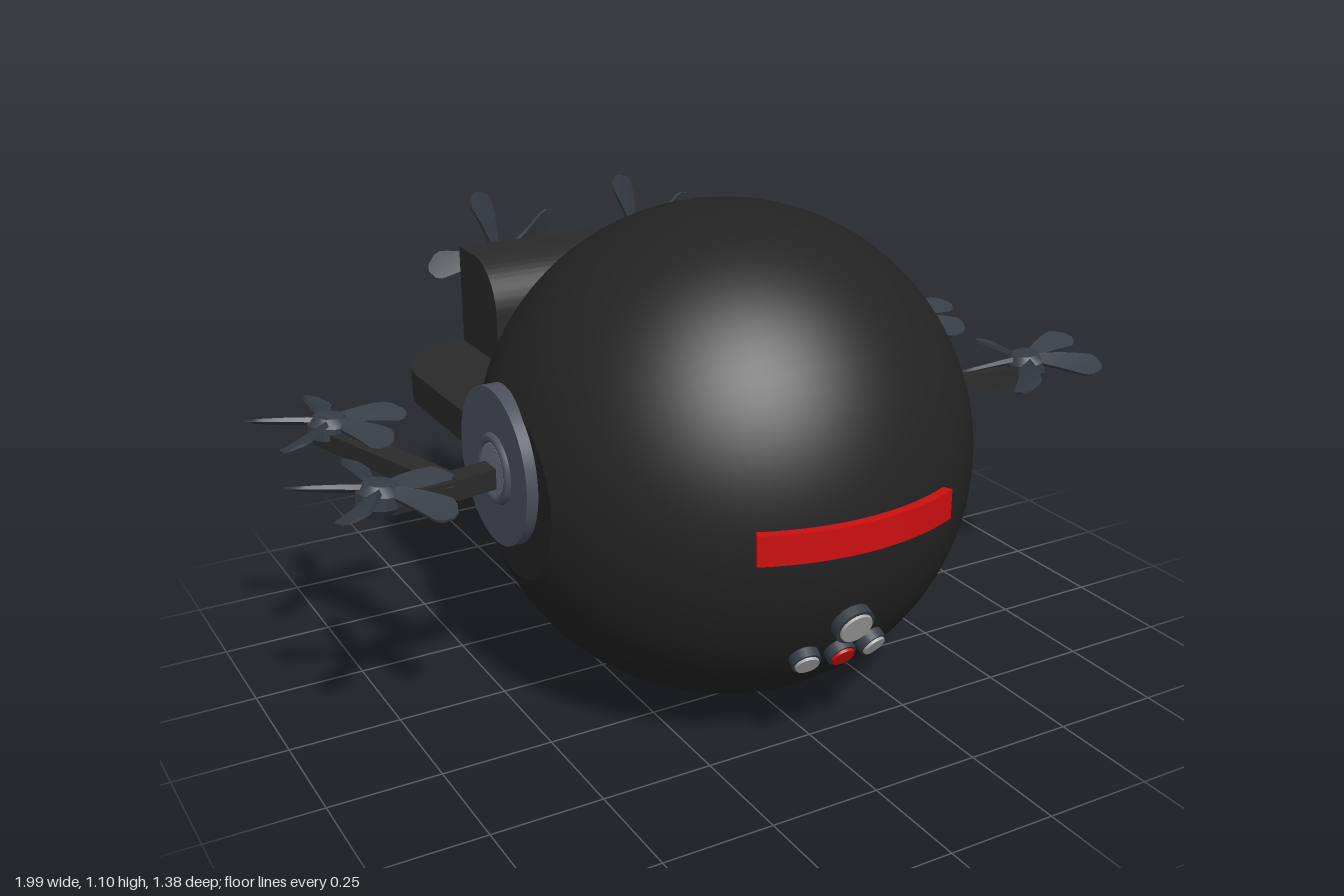
import * as THREE from 'three';
import { toCreasedNormals } from 'three/addons/utils/BufferGeometryUtils.js';

const mat = (color) => new THREE.MeshStandardMaterial({ color });
const V = (x, y, z) => new THREE.Vector3(x, y, z);
const UP = V(0, 1, 0);

export function createModel() {
  const root = new THREE.Group();
  const black = mat(0x232323), dark = mat(0x2a2a2a), steel = mat(0x363d45);
  const plate = mat(0x4b515d), pale = mat(0x6c7480), red = mat(0xcc0f10);
  const lampGrey = mat(0xa8a8a8), green = mat(0x3f4636);

  function add(parent, name, geometry, material, pos) {
    const mesh = new THREE.Mesh(geometry, material);
    mesh.name = name;
    if (pos) mesh.position.copy(pos);
    parent.add(mesh);
    return mesh;
  }

  // Body: sphere turned about the x axis with both sides cut flat
  const R = 0.55, cut = 0.515, centre = V(0, 0.55, 0.13);
  const a0 = Math.asin(cut / R);
  const profile = [new THREE.Vector2(0, -cut)];
  for (let i = 0; i <= 40; i++) {
    const a = -a0 + (2 * a0 * i) / 40;
    profile.push(new THREE.Vector2(R * Math.cos(a), R * Math.sin(a)));
  }
  profile.push(new THREE.Vector2(0, cut));
  const bodyGeo = toCreasedNormals(new THREE.LatheGeometry(profile, 80), 0.35);
  add(root, 'body', bodyGeo.rotateZ(-Math.PI / 2), black, centre);

  // Rear deck with rounded back corners
  const w = 0.505, back = 0.635, r = 0.2;
  const deck = new THREE.Shape();
  deck.moveTo(-w, 0);
  deck.lineTo(w, 0);
  deck.lineTo(w, back - r);
  deck.absarc(w - r, back - r, r, 0, Math.PI / 2);
  deck.absarc(-w + r, back - r, r, Math.PI / 2, Math.PI);
  deck.closePath();
  const deckGeo = new THREE.ExtrudeGeometry(deck, { depth: 0.075, bevelEnabled: false, curveSegments: 16 });
  add(root, 'rearDeck', toCreasedNormals(deckGeo.rotateX(-Math.PI / 2), 0.5), dark, V(0, 0.555, 0));

  // Engine housing: side profile (shape x = -z) with a rounded front top edge
  const hump = new THREE.Shape();
  hump.moveTo(0.415, 0.6);
  hump.lineTo(0.632, 0.6);
  hump.lineTo(0.632, 0.87);
  hump.lineTo(0.54, 0.87);
  hump.absarc(0.54, 0.745, 0.125, Math.PI / 2, Math.PI);
  hump.closePath();
  const humpGeo = new THREE.ExtrudeGeometry(hump, { depth: 0.61, bevelEnabled: false, curveSegments: 14 });
  humpGeo.rotateY(Math.PI / 2);
  add(root, 'engineHousing', toCreasedNormals(humpGeo, 0.5), dark, V(-0.305, 0, 0));

  // Small slatted panel on the deck
  for (let i = 0; i < 3; i++) {
    add(root, 'deckPanel', new THREE.BoxGeometry(0.029, 0.03, 0.098), green, V(0.352 + i * 0.032, 0.638, -0.487));
  }

  // Curved visor strip wrapped round the front
  const half = 0.423;
  const band = new THREE.Shape();
  band.absarc(0, 0, 0.57, -Math.PI / 2 - half, -Math.PI / 2 + half, false);
  band.absarc(0, 0, 0.54, -Math.PI / 2 + half, -Math.PI / 2 - half, true);
  band.closePath();
  const bandGeo = new THREE.ExtrudeGeometry(band, { depth: 0.065, bevelEnabled: false, curveSegments: 28 });
  add(root, 'visor', toCreasedNormals(bandGeo.rotateX(-Math.PI / 2), 0.5), red, V(0, 0.52, 0.13));

  // Lamps: bezel and lens pointing straight out of the sphere
  const lamps = [[0, 0.34, 0.038, lampGrey], [-0.08, 0.258, 0.027, lampGrey],
    [0, 0.258, 0.027, red], [0.08, 0.258, 0.027, lampGrey]];
  for (const [x, y, rad, lens] of lamps) {
    const dir = V(x, y - centre.y, 0);
    dir.z = Math.sqrt(R * R - dir.lengthSq());
    dir.normalize();
    const lamp = new THREE.Group();
    lamp.name = 'lamp';
    lamp.position.copy(centre).addScaledVector(dir, R);
    lamp.quaternion.setFromUnitVectors(UP, dir);
    add(lamp, 'lampBezel', new THREE.CylinderGeometry(rad * 1.2, rad * 1.2, 0.03, 24), steel, V(0, 0.005, 0));
    add(lamp, 'lampLens', new THREE.CylinderGeometry(rad * 0.95, rad, 0.008, 24), lens, V(0, 0.022, 0));
    root.add(lamp);
  }

  // Blade: thin box widened toward a rounded tip, swept and twisted
  const bladeGeo = new THREE.BoxGeometry(1, 1, 1, 10, 1, 3);
  const p = bladeGeo.attributes.position;
  for (let i = 0; i < p.count; i++) {
    const u = p.getX(i) + 0.5;
    const tip = u > 0.75 ? Math.sqrt(Math.max(0.06, 1 - ((u - 0.75) / 0.25) ** 2)) : 1;
    const z = p.getZ(i) * (0.026 + 0.044 * Math.min(1, u * 1.25)) * tip + 0.02 * u * u;
    const y = p.getY(i) * (0.012 - 0.007 * u);
    const pitch = 0.6 - 0.25 * u;
    p.setXYZ(i, 0.03 + 0.155 * u, y * Math.cos(pitch) - z * Math.sin(pitch),
      y * Math.sin(pitch) + z * Math.cos(pitch));
  }
  const blade = toCreasedNormals(bladeGeo, 0.6);
  const hubGeo = toCreasedNormals(new THREE.LatheGeometry(
    [[0, -0.035], [0.03, -0.035], [0.048, -0.012], [0.048, 0.015], [0.032, 0.033], [0, 0.036]]
      .map(([x, y]) => new THREE.Vector2(x, y)), 12), 0.4);

  // Five-bladed propeller spinning about its own y axis
  function propeller(name, pos, phase) {
    const g = new THREE.Group();
    g.name = name;
    g.position.copy(pos);
    add(g, 'propellerHub', hubGeo, steel);
    for (let i = 0; i < 5; i++) {
      add(g, 'propellerBlade', blade, steel, V(0, 0.018, 0)).rotation.y = phase + (i * Math.PI * 2) / 5;
    }
    root.add(g);
    return g;
  }

  // Square beam between two points
  function beam(name, a, b, width, height) {
    const m = add(root, name, new THREE.BoxGeometry(width, height, a.distanceTo(b)), dark, a.clone().lerp(b, 0.5));
    m.lookAt(b);
  }

  for (const s of [1, -1]) {
    // Side mounting plate with a raised ring and a pale core
    const mount = new THREE.Group();
    mount.name = 'sideMount';
    mount.position.set(s * cut, s > 0 ? 0.567 : 0.595, s > 0 ? 0.085 : 0.092);
    mount.rotation.z = -s * Math.PI / 2;
    add(mount, 'mountPlate', new THREE.CylinderGeometry(0.172, 0.172, 0.05, 48), plate);
    const ring = new THREE.TorusGeometry(0.067, 0.011, 8, 40).rotateX(Math.PI / 2);
    add(mount, 'mountRing', ring, plate, V(0, 0.026, 0.015));
    add(mount, 'mountCore', new THREE.CylinderGeometry(0.056, 0.06, 0.03, 32), pale, V(0, 0.018, 0.015));
    root.add(mount);

    // Forked arm carrying two lift propellers
    const front = V(s * 0.818, 0.613, s > 0 ? 0.18 : 0.172);
    const rear = V(s > 0 ? 0.745 : -0.785, 0.615, -0.235);
    const fork = V(s * 0.65, 0.583, 0.125);
    beam('armRoot', V(s * 0.5, 0.577, 0.085), fork, 0.055, 0.045);
    beam('armFront', fork, front.clone().setY(0.6), 0.055, 0.04);
    beam('armRear', fork, rear.clone().setY(0.6), 0.055, 0.04);
    propeller('frontPropeller', front, 1.62).rotation.z = s * 0.12;
    propeller('rearPropeller', rear, 1.5).rotation.z = s * 0.06;

    // Thrust propellers on the back of the housing
    propeller('thrustPropeller', V(s * 0.195, 0.815, -0.64), -1.75).rotation.x = -Math.PI / 2;
  }
  return root;
}
